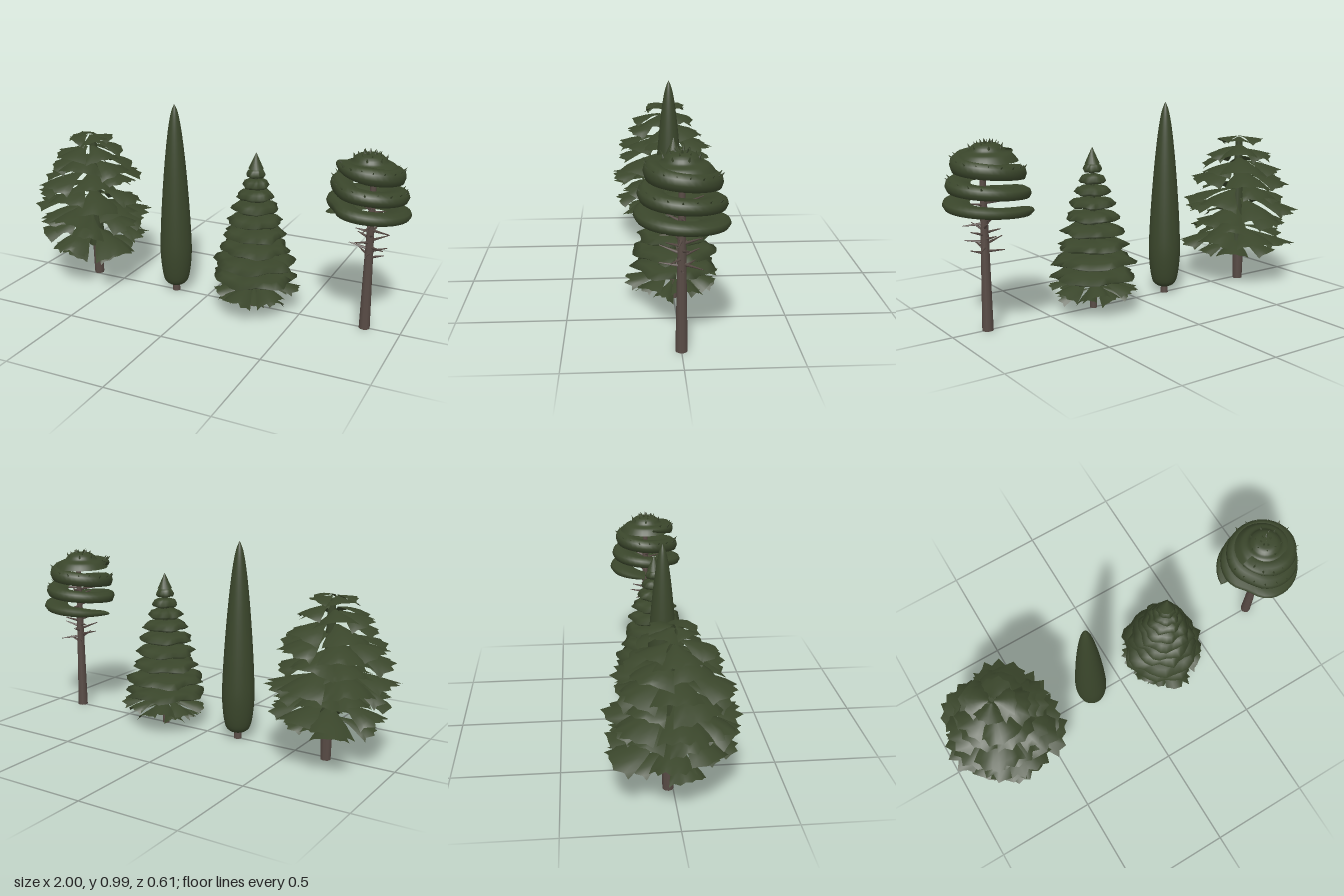
import * as THREE from 'three';

const leaf = new THREE.MeshStandardMaterial({ color: 0x3a462b, side: THREE.DoubleSide });
leaf.name = 'needleGreen';
const bark = new THREE.MeshStandardMaterial({ color: 0x584b45 });
bark.name = 'barkBrown';

// Small seeded random in -1..1
let seed = 7;
const rnd = () => {
  seed = (seed * 16807) % 2147483647;
  return (seed / 2147483647) * 2 - 1;
};

function add(parent, name, geometry, material) {
  const mesh = new THREE.Mesh(geometry, material);
  mesh.name = name;
  parent.add(mesh);
  return mesh;
}

// Grid surface from a rule (u, v, i, j) -> [x, y, z]
function sheet(nu, nv, rule) {
  const pos = [], index = [];
  for (let i = 0; i <= nu; i++) {
    for (let j = 0; j <= nv; j++) {
      pos.push(...rule(i / nu, j / nv, i, j));
      if (i < nu && j < nv) {
        const a = i * (nv + 1) + j, b = a + nv + 1;
        index.push(a, b, a + 1, b, b + 1, a + 1);
      }
    }
  }
  const g = new THREE.BufferGeometry();
  g.setAttribute('position', new THREE.Float32BufferAttribute(pos, 3));
  g.setIndex(index);
  g.computeVertexNormals();
  return g;
}

const polar = (r, a, y) => [Math.cos(a) * r, y, -Math.sin(a) * r];
const lathe = points => new THREE.LatheGeometry(
  new THREE.SplineCurve(points.map(p => new THREE.Vector2(...p))).getPoints(40), 28);

// Drooping fan bough with a ragged outer edge
function bough(angle, y, r, half, lift, droop) {
  const jag = Array.from({ length: 9 }, (_, k) => (k % 2 ? -0.07 : 0.0) + rnd() * 0.05);
  const tilt = rnd() * 0.014;
  return sheet(8, 5, (s, v, i) => {
    const u = s * 2 - 1;
    const spread = half * Math.min(1, 0.55 + v * 0.7);
    const rad = r * (0.12 + 0.88 * v) * (1 - 0.1 * u * u * v) + (v === 1 ? jag[i] * r : 0);
    return polar(rad, angle + u * spread, y + lift * (1 - v) - droop * v * v - (0.028 * u * u + tilt * u) * v);
  });
}

function boughTier(parent, name, y, r, count, cover, lift, droop, ragged) {
  const turn = rnd() * 3;
  for (let k = 0; k < count; k++) {
    const a = turn + (k / count) * Math.PI * 2 + rnd() * 0.15;
    const g = bough(a, y + rnd() * ragged, r * (0.95 + rnd() * 0.07),
      (Math.PI / count) * cover, lift, droop + rnd() * ragged * 0.6);
    add(parent, name, g, leaf);
  }
}

function column(parent, name, top, bottom, y0, y1, material, sides = 10) {
  const g = new THREE.CylinderGeometry(top, bottom, y1 - y0, sides).translate(0, (y0 + y1) / 2, 0);
  return add(parent, name, g, material);
}

// Wide layered tree
function broadTree() {
  const g = new THREE.Group();
  g.name = 'broadTree';
  column(g, 'trunk', 0.03, 0.025, 0, 0.22, bark, 8).position.set(0.01, 0, -0.022);
  column(g, 'innerFoliage', 0.018, 0.042, 0.17, 0.765, leaf, 8).position.set(0.01, 0, -0.012);
  // height, radius, boughs, coverage
  const tiers = [[0.2, 0.235, 5, 0.75], [0.278, 0.31, 7, 0.95], [0.35, 0.285, 7, 0.98], [0.42, 0.31, 7, 1],
    [0.5, 0.288, 6, 1], [0.57, 0.278, 6, 1], [0.645, 0.232, 5, 1.05], [0.712, 0.187, 5, 1.1], [0.77, 0.125, 4, 1.15]];
  tiers.forEach(([y, r, n, cover], t) => {
    const slope = t > 7 ? 0.03 : 0.11;
    boughTier(g, 'bough', y, r, n, cover, r * 0.07, r * slope, r * slope * 0.8);
  });
  return g;
}

// Slim column tree
function columnTree() {
  const g = new THREE.Group();
  g.name = 'columnTree';
  column(g, 'trunk', 0.016, 0.02, 0, 0.06, bark);
  add(g, 'foliage', lathe([[0.001, 0.03], [0.042, 0.042], [0.066, 0.08], [0.08, 0.2], [0.077, 0.34],
    [0.066, 0.52], [0.051, 0.7], [0.034, 0.85], [0.018, 0.94], [0.001, 0.985]]), leaf);
  return g;
}

// Conical tiered tree
function conicalTree() {
  const g = new THREE.Group();
  g.name = 'conicalTree';
  column(g, 'trunk', 0.016, 0.018, 0, 0.12, bark);
  column(g, 'innerFoliage', 0.008, 0.019, 0.1, 0.75, leaf);
  add(g, 'tip', new THREE.ConeGeometry(0.036, 0.08, 14).translate(0, 0.755, 0), leaf);
  const tiers = [[0.697, 0.045], [0.645, 0.065], [0.59, 0.088], [0.53, 0.112], [0.465, 0.132],
    [0.397, 0.152], [0.326, 0.168], [0.252, 0.198], [0.178, 0.2]];
  const profile = [[0.08, 0.018], [0.45, 0.018], [0.8, 0.01], [1, -0.01], [0.85, -0.022], [0.4, -0.016], [0.08, -0.012]];
  tiers.forEach(([y, r], t) => {
    const n = 28, jag = Array.from({ length: n }, () => 1 + rnd() * 0.06);
    add(g, 'tier', sheet(n, 6, (u, v, i, j) => {
      const a = u * Math.PI * 2, [f, dy] = profile[j];
      const wave = Math.sin(a * 5 + t * 1.7) * 0.03 * r * f;
      const star = 1 + 0.06 * Math.cos(a * 7 + t * 2.1);
      return polar(r * f * star * (j === 3 ? jag[i % n] : 1), a, y + dy + wave);
    }), leaf);
  });
  // Ragged low boughs
  boughTier(g, 'lowBough', 0.125, 0.235, 7, 0.82, 0.012, 0.02, 0.014);
  boughTier(g, 'lowBough', 0.095, 0.2, 7, 0.7, 0.015, 0.012, 0.014);
  return g;
}

// Tall bare-trunked tree with a spiral crown
function tallTree() {
  const g = new THREE.Group();
  g.name = 'tallTree';
  column(g, 'trunk', 0.012, 0.026, 0, 0.8, bark);
  // Bare twigs
  for (let k = 0; k < 30; k++) {
    const len = 0.085 + rnd() * 0.02;
    const twig = new THREE.CylinderGeometry(0.002, 0.008, len, 5).translate(0, len / 2, 0);
    twig.rotateZ(-1.4 + rnd() * 0.25).rotateY(k * 2.4).translate(0, 0.36 + k * 0.0105, 0);
    add(g, 'twig', twig, bark);
  }
  const crown = new THREE.Group();
  crown.name = 'crown';
  crown.position.x = -0.022;
  g.add(crown);

  // Rolled foliage ribbon winding up the trunk, dented on one side
  const turns = 2.95;
  const angle = t => Math.PI - 0.1 - t * turns * Math.PI * 2;
  const height = t => 0.547 + 0.075 * turns * t + 0.0045 * (turns * t) ** 2;
  const radius = t => {
    const off = Math.atan2(Math.sin(angle(t) + 2.5), Math.cos(angle(t) + 2.5));
    return (0.205 - 0.02 * t - 0.035 * t * t) * (1 - 0.2 * (1 - t) * Math.exp(-((off / 0.4) ** 2)));
  };
  const profile = [[0.4, 0.008], [0.62, 0.026], [0.85, 0.028], [0.97, 0.015], [1, -0.003], [0.95, -0.022],
    [0.85, -0.02], [0.62, -0.002], [0.4, 0.004]];
  add(crown, 'spiralFoliage', sheet(110, 8, (t, v, i, j) => {
    const [f, dy] = profile[j];
    const grow = Math.min(1, t * 12 + 0.45, (1 - t) * 8 + 0.3) * (0.75 + 0.75 * t);
    return polar(radius(t) * f, angle(t), height(t) + dy * grow);
  }), leaf);
  add(crown, 'crownCap', lathe([[0.14, 0.775], [0.115, 0.806], [0.085, 0.82], [0.068, 0.84], [0.045, 0.853],
    [0.001, 0.856]]), leaf);

  // Needle tufts on the upper rim and the cap
  for (let k = 0; k < 30; k++) {
    const t = 0.45 + 0.53 * (k / 29);
    const tuft = new THREE.ConeGeometry(0.009, 0.036, 4).rotateZ(-0.8);
    tuft.translate(radius(t) * (0.92 + rnd() * 0.06), height(t) + 0.022, 0).rotateY(angle(t));
    add(crown, 'tuft', tuft, leaf);
  }
  for (let k = 0; k < 18; k++) {
    const tuft = new THREE.ConeGeometry(0.011, 0.036, 4).rotateZ(-0.4);
    tuft.translate(0.025 + (k % 3) * 0.024, 0.858 - (k % 3) * 0.011, 0).rotateY(k * 2.4);
    add(crown, 'tuft', tuft, leaf);
  }
  return g;
}

export function createModel() {
  const model = new THREE.Group();
  model.name = 'evergreenTrees';
  [[broadTree(), -0.68], [columnTree(), -0.18], [conicalTree(), 0.257], [tallTree(), 0.828]].forEach(([tree, x]) => {
    tree.position.x = x;
    model.add(tree);
  });
  return model;
}
